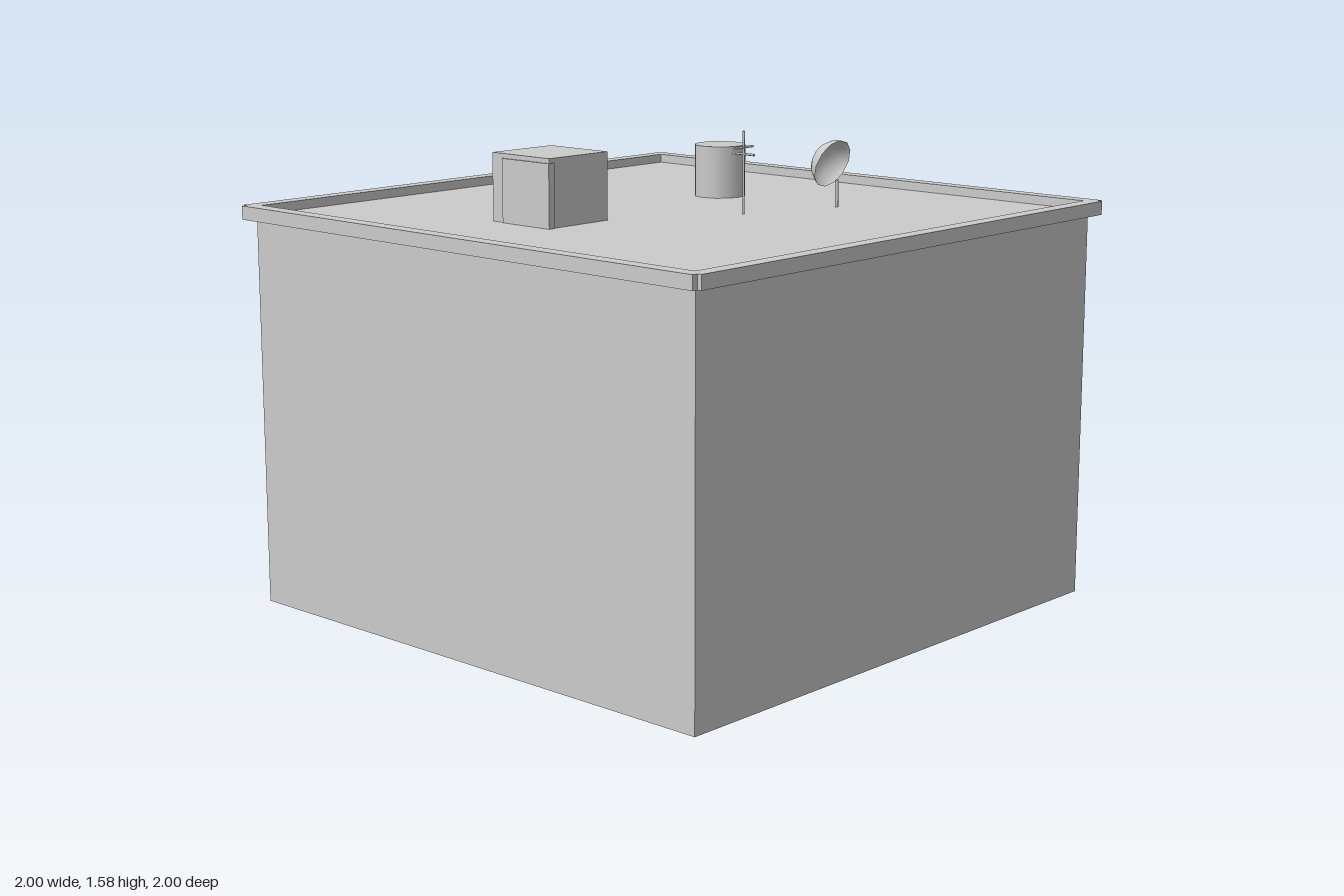
import * as THREE from 'three';

export function createModel() {
  const model = new THREE.Group();
  const grey = new THREE.MeshStandardMaterial({ color: 0xcccccc });
  const thin = new THREE.MeshStandardMaterial({ color: 0xcccccc, side: THREE.DoubleSide });
  const deck = 1.305;

  function add(parent, name, geometry, x, y, z, material = grey) {
    const mesh = new THREE.Mesh(geometry, material);
    mesh.name = name;
    mesh.position.set(x, y, z);
    parent.add(mesh);
    return mesh;
  }

  // Box given by its min and max corners
  function box(parent, name, [x0, y0, z0], [x1, y1, z1]) {
    const geometry = new THREE.BoxGeometry(x1 - x0, y1 - y0, z1 - z0);
    return add(parent, name, geometry, (x0 + x1) / 2, (y0 + y1) / 2, (z0 + z1) / 2);
  }

  // Upright cylinder standing on the roof deck
  function post(parent, name, radius, top, x, z, sides) {
    const geometry = new THREE.CylinderGeometry(radius, radius, top - deck, sides);
    return add(parent, name, geometry, x, (top + deck) / 2, z);
  }

  // Main block, its top is the roof deck
  box(model, 'building', [-0.96, 0, -0.96], [0.96, deck, 0.96]);

  // Parapet of four rails with small notches at the corners
  const parapet = new THREE.Group();
  parapet.name = 'parapet';
  model.add(parapet);
  for (const s of [-1, 1]) {
    add(parapet, 'parapetFrontBack', new THREE.BoxGeometry(1.96, 0.045, 0.052), 0, 1.3125, s * 0.974);
    add(parapet, 'parapetSide', new THREE.BoxGeometry(0.052, 0.045, 1.97), s * 0.974, 1.3125, 0);
  }

  // Stair hut with a door panel on its right side
  const hut = new THREE.Group();
  hut.name = 'stairHut';
  model.add(hut);
  box(hut, 'hutBody', [-0.54, deck, -0.29], [-0.28, 1.525, -0.035]);
  box(hut, 'hutDoor', [-0.546, deck, -0.24], [-0.52, 1.51, -0.03]);

  // Water tank
  post(model, 'waterTank', 0.088, 1.48, 0.41, -0.17, 12);

  // Antenna mast with two crossing arms
  const antenna = new THREE.Group();
  antenna.name = 'antenna';
  model.add(antenna);
  post(antenna, 'mast', 0.004, 1.575, 0.12, 0.19, 6);
  const arm = new THREE.CylinderGeometry(0.004, 0.004, 0.092, 6);
  add(antenna, 'armAcross', arm, 0.12, 1.522, 0.19).rotation.z = Math.PI / 2;
  add(antenna, 'armAlong', arm, 0.12, 1.5, 0.19).rotation.x = Math.PI / 2;

  // Dish, a shallow open cap on a short post
  const dish = new THREE.Group();
  dish.name = 'dish';
  model.add(dish);
  const cap = new THREE.SphereGeometry(0.088, 12, 6, 0, Math.PI * 2, 0, 1.31);
  cap.translate(0, -0.023, 0);
  add(dish, 'dishBowl', cap, 0.455, 1.447, 0.288, thin).rotation.x = -1.2;
  post(dish, 'dishPost', 0.006, 1.395, 0.455, 0.308, 6);

  return model;
}
